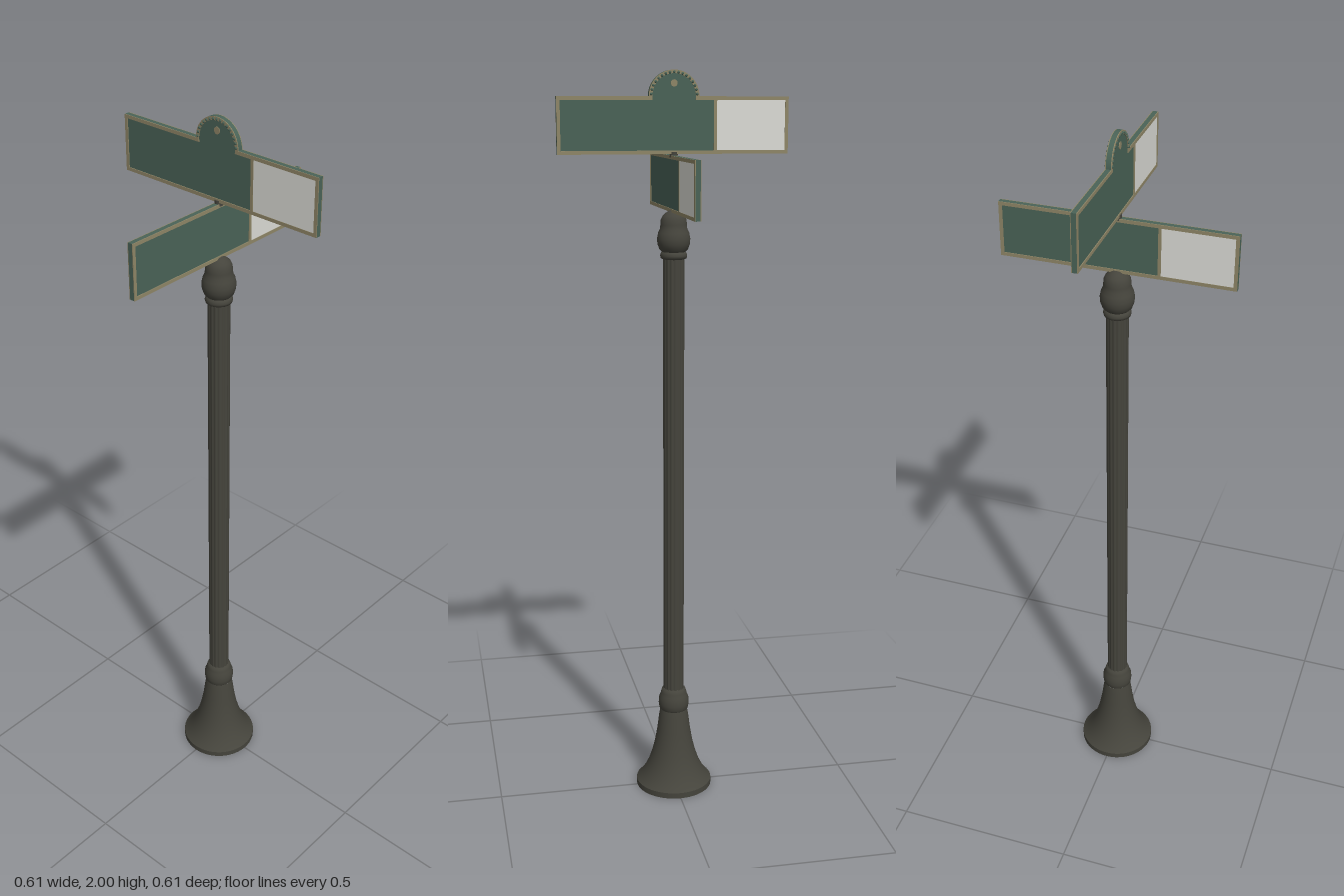
import * as THREE from 'three';

const mat = (name, color) => {
  const m = new THREE.MeshStandardMaterial({ color });
  m.name = name;
  return m;
};

const HALF = 0.304, HEIGHT = 0.145, ARCH = 0.066, RIM = 0.009;

// Sign outline, inset by i, optionally crowned with a half-round arch
function outline(Type, i, arched) {
  const s = new Type();
  const w = HALF - i, top = HEIGHT - i;
  s.moveTo(-w, i);
  s.lineTo(w, i);
  s.lineTo(w, top);
  if (arched) {
    const r = ARCH - i, a = Math.asin(-i / r);
    s.absarc(0, HEIGHT, r, a, Math.PI - a, false);
  }
  s.lineTo(-w, top);
  s.closePath();
  return s;
}

export function createModel() {
  const iron = mat('dark iron', 0x45443c);
  const green = mat('sign green', 0x4a6357);
  const tan = mat('tan trim', 0x8f8667);
  const white = mat('panel white', 0xdcdcd6);

  const model = new THREE.Group();
  model.name = 'streetSign';

  const add = (parent, name, geo, material, x = 0, y = 0, z = 0) => {
    const mesh = new THREE.Mesh(geo, material);
    mesh.name = name;
    mesh.position.set(x, y, z);
    parent.add(mesh);
    return mesh;
  };
  const extrude = (shape, depth) =>
    new THREE.ExtrudeGeometry(shape, { depth, bevelEnabled: false, curveSegments: 32 });
  const lathe = (pts) =>
    new THREE.LatheGeometry(pts.map(([r, y]) => new THREE.Vector2(r, y)), 48);

  // Flared base with a rounded collar
  add(model, 'baseFoot', new THREE.CylinderGeometry(0.107, 0.107, 0.016, 48), iron, 0, 0.008, 0);
  add(model, 'base', lathe([
    [0.107, 0.016], [0.098, 0.025], [0.085, 0.043], [0.073, 0.067], [0.063, 0.095],
    [0.054, 0.13], [0.047, 0.17], [0.042, 0.21], [0.038, 0.232],
  ]), iron);
  add(model, 'baseCollar', lathe([
    [0.036, 0.23], [0.041, 0.236], [0.043, 0.25], [0.042, 0.266], [0.038, 0.275],
    [0.036, 0.284], [0.033, 0.293], [0.026, 0.297],
  ]), iron);

  // Shaft with shallow flutes
  const shaft = new THREE.CylinderGeometry(0.029, 0.029, 1.26, 96, 1, true);
  const p = shaft.attributes.position;
  for (let i = 0; i < p.count; i++) {
    const k = 1 - 0.06 * (0.5 - 0.5 * Math.cos(16 * Math.atan2(p.getZ(i), p.getX(i))));
    p.setX(i, p.getX(i) * k);
    p.setZ(i, p.getZ(i) * k);
  }
  shaft.computeVertexNormals();
  add(model, 'shaft', shaft, iron, 0, 0.91, 0);

  // Turned cap carrying the signs
  add(model, 'capRing', lathe([
    [0.027, 1.517], [0.034, 1.52], [0.036, 1.527], [0.034, 1.534], [0.03, 1.538],
  ]), iron);
  add(model, 'cap', lathe([
    [0.03, 1.536], [0.038, 1.544], [0.043, 1.558], [0.044, 1.572], [0.041, 1.587],
    [0.036, 1.597], [0.035, 1.608], [0.034, 1.62], [0.029, 1.631], [0.02, 1.639],
    [0.011, 1.645], [0, 1.646],
  ]), iron);

  // One street sign, readable from both faces
  function makeSign(name, arched) {
    const sign = new THREE.Group();
    sign.name = name;
    add(sign, 'signBoard', extrude(outline(THREE.Shape, 0, arched), 0.0124), green, 0, 0, -0.0062);
    for (const turn of [0, Math.PI]) {
      const face = new THREE.Group();
      face.name = turn ? 'backFace' : 'frontFace';
      face.rotation.y = turn;
      sign.add(face);

      // Raised border, divider and white end panel
      const border = outline(THREE.Shape, 0, arched);
      border.holes.push(outline(THREE.Path, RIM, arched));
      add(face, 'border', extrude(border, 0.002), tan, 0, 0, 0.0062);
      add(face, 'divider', new THREE.BoxGeometry(0.008, HEIGHT - 2 * RIM, 0.002), tan,
        0.109, HEIGHT / 2, 0.0072);
      add(face, 'endPanel', new THREE.BoxGeometry(HALF - RIM - 0.113, HEIGHT - 2 * RIM, 0.001), white,
        (HALF - RIM + 0.113) / 2, HEIGHT / 2, 0.0067);

      if (arched) {
        // Row of beads around the arch and a plain boss
        for (let i = 0; i < 17; i++) {
          const a = Math.PI * (i + 0.5) / 17;
          add(face, 'bead', new THREE.SphereGeometry(0.0038, 10, 8), green,
            Math.cos(a) * 0.0605, HEIGHT + Math.sin(a) * 0.0605, 0.0072);
        }
        const boss = add(face, 'boss', new THREE.CylinderGeometry(0.009, 0.009, 0.002, 20), tan,
          0, HEIGHT + 0.033, 0.0068);
        boss.rotation.x = Math.PI / 2;
      }
    }
    model.add(sign);
    return sign;
  }

  makeSign('lowerSign', false).position.y = 1.64;
  const upper = makeSign('upperSign', true);
  upper.position.y = 1.789;
  upper.rotation.y = Math.PI / 2;

  // Small joint between the two signs
  add(model, 'signJoint', new THREE.CylinderGeometry(0.011, 0.011, 0.014, 20), iron, 0, 1.787, 0);

  return model;
}
